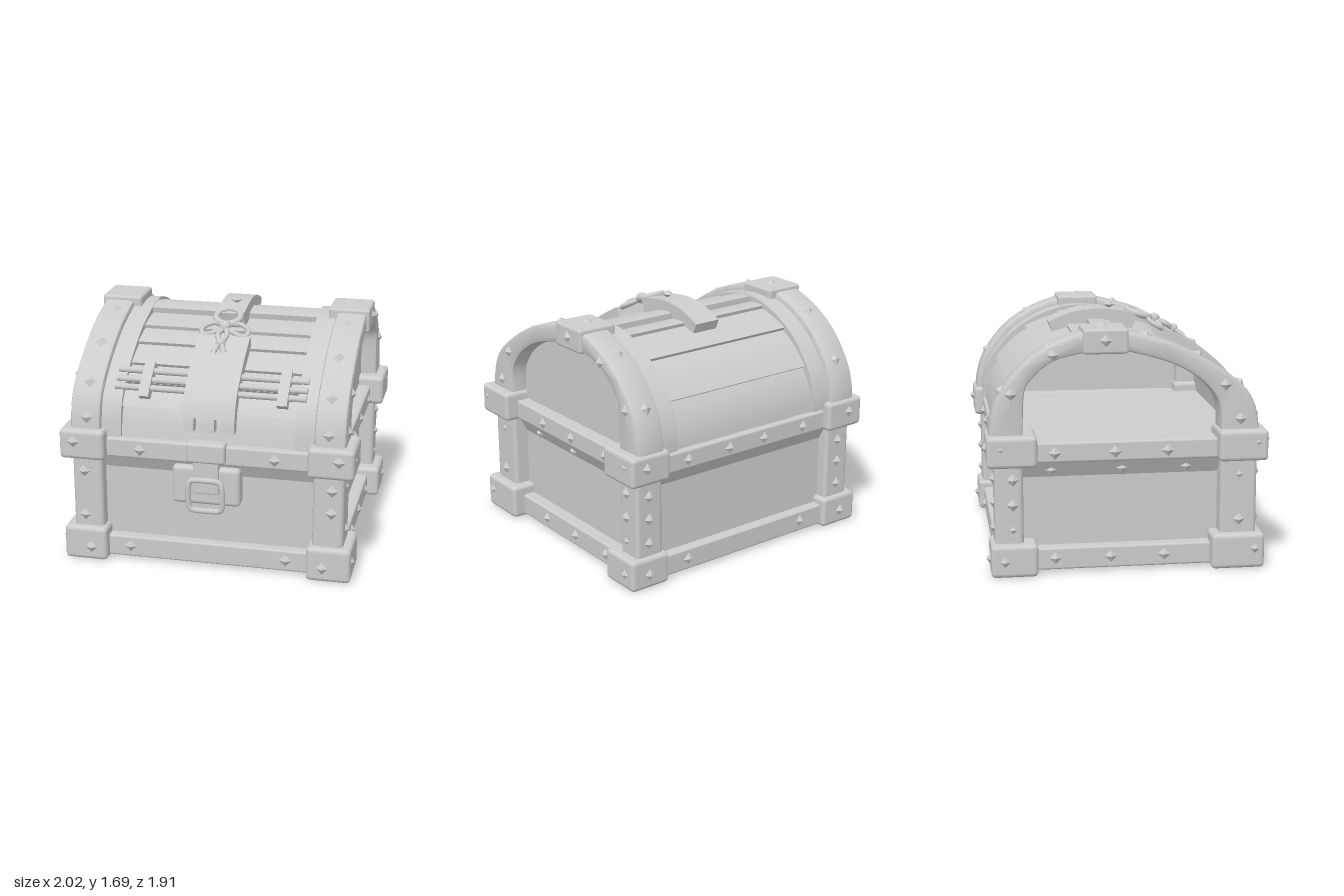
import * as THREE from 'three';
import { toCreasedNormals } from 'three/addons/utils/BufferGeometryUtils.js';
import { RoundedBoxGeometry } from 'three/addons/geometries/RoundedBoxGeometry.js';

const grey = new THREE.MeshStandardMaterial({ color: 0xcccccc, side: THREE.DoubleSide });
grey.name = 'plain grey';

// Lid side profile, front to back, as (-z, y)
const vecs = (list) => list.map(([a, b]) => new THREE.Vector2(a, b));
const outer = new THREE.SplineCurve(vecs([
  [-0.88, 0.9], [-0.86, 1.07], [-0.80, 1.2], [-0.68, 1.31], [-0.51, 1.42], [-0.28, 1.53], [0, 1.605],
  [0.15, 1.62], [0.30, 1.605], [0.5, 1.53], [0.69, 1.4], [0.845, 1.2], [0.905, 1.02], [0.91, 0.9]]));
const inner = new THREE.SplineCurve(vecs([
  [-0.62, 0.9], [-0.61, 1.1], [-0.56, 1.2], [-0.46, 1.3], [-0.28, 1.4], [0, 1.48],
  [0.15, 1.49], [0.3, 1.475], [0.5, 1.42], [0.64, 1.3], [0.68, 1.2], [0.69, 0.9]]));

// Position along the lid profile for a given z
function uAt(z) {
  let lo = 0, hi = 1;
  for (let i = 0; i < 24; i++) {
    const mid = (lo + hi) / 2;
    if (outer.getPointAt(mid).x < -z) lo = mid; else hi = mid;
  }
  return lo;
}

// Point on the lid profile, moved outward by off
function lidPoint(u, off) {
  const p = outer.getPointAt(u), t = outer.getTangentAt(u);
  return new THREE.Vector2(p.x - t.y * off, p.y + t.x * off);
}

export function createModel() {
  const model = new THREE.Group();
  model.name = 'treasureChest';

  const add = (name, geo, x = 0, y = 0, z = 0) => {
    const m = new THREE.Mesh(geo, grey);
    m.name = name;
    m.position.set(x, y, z);
    model.add(m);
    return m;
  };

  // Box given by its limits, with softened edges
  const block = (name, x0, x1, y0, y1, z0, z1, r = 0.015) =>
    add(name, new RoundedBoxGeometry(x1 - x0, y1 - y0, z1 - z0, 2, r), (x0 + x1) / 2, (y0 + y1) / 2, (z0 + z1) / 2);

  // Side outline extruded from x0 to x1
  const slab = (name, pts, x0, x1, bevel = 0) => {
    const geo = new THREE.ExtrudeGeometry(new THREE.Shape(pts), {
      depth: x1 - x0 - 2 * bevel, bevelEnabled: bevel > 0, bevelSize: bevel,
      bevelOffset: -bevel, bevelThickness: bevel, bevelSegments: 2 });
    geo.rotateY(Math.PI / 2);
    return add(name, toCreasedNormals(geo, 0.7), x0 + bevel, 0, 0);
  };

  // Strip following the lid, with outer offsets a to b and inner offset c
  const strip = (name, u0, u1, a, b, c, x0, x1, n = 4) => {
    const top = [], under = [];
    for (let i = 0; i <= n; i++) {
      const k = i / n, u = u0 + (u1 - u0) * k;
      top.push(lidPoint(u, a + (b - a) * k));
      under.unshift(lidPoint(u, c));
    }
    return slab(name, [...top, ...under], x0, x1);
  };

  const tube = (name, pts, r, closed = false, tension = 0.5) =>
    add(name, new THREE.TubeGeometry(new THREE.CatmullRomCurve3(
      pts.map((p) => new THREE.Vector3(...p)), closed, 'catmullrom', tension), 40, r, 8, closed));

  // Faceted stud, flattened along the surface normal
  const studGeo = toCreasedNormals(new THREE.OctahedronGeometry(0.042), 0.1);
  const stud = (x, y, z, axis, tilt = 0) => {
    const m = add('stud', studGeo, x, y, z);
    m.scale[axis] = 0.65;
    m.rotation.x = tilt;
  };

  // Lower body and its inward sloping band
  block('body', -0.82, 0.82, 0.015, 0.88, -0.8, 0.78, 0.005);
  const band = new THREE.CylinderGeometry(Math.SQRT1_2, Math.SQRT1_2 * 0.93, 0.11, 4);
  band.rotateY(Math.PI / 4).scale(1.77, 1, 1.68);
  add('slopedBand', toCreasedNormals(band, 0.3), 0, 0.695, -0.01);

  // Rails round the base and rim
  for (const [y0, y1] of [[0.02, 0.17], [0.75, 0.885]]) {
    block('frontRail', -0.76, 0.76, y0, y1, 0.68, 0.85);
    block('backRail', -0.76, 0.76, y0, y1, -0.87, -0.7);
    for (const s of [-1, 1]) {
      const a = s * 0.76, b = s * 0.905;
      block('sideRail', Math.min(a, b), Math.max(a, b), y0, y1, -0.66, 0.66);
    }
  }

  for (const s of [-1, 1]) {
    const side = (name, a, b, ...rest) => block(name, Math.min(s * a, s * b), Math.max(s * a, s * b), ...rest);
    // Posts and corner caps
    side('frontPost', 0.72, 0.93, 0.15, 0.8, 0.62, 0.87, 0.03);
    side('backPost', 0.72, 0.93, 0.15, 0.8, -0.88, -0.69, 0.03);
    side('frontFootCap', 0.69, 0.99, 0, 0.24, 0.56, 0.92, 0.03);
    side('backFootCap', 0.69, 0.99, 0, 0.22, -0.91, -0.6, 0.03);
    side('frontRimCap', 0.69, 1.0, 0.74, 0.95, 0.6, 0.93, 0.03);
    side('backRimCap', 0.69, 1.0, 0.74, 0.95, -0.93, -0.6, 0.03);

    // Lid arch with thin inner band and crown block
    const x0 = s > 0 ? 0.725 : -0.935;
    slab('lidArch', [...outer.getSpacedPoints(40), ...inner.getSpacedPoints(40).reverse()], x0, x0 + 0.21, 0.025);
    const bx = s > 0 ? 0.59 : -0.74;
    strip('lidInnerBand', 0, 1, -0.04, -0.04, -0.1, bx, bx + 0.15, 40);
    side('archCrown', 0.67, 0.955, 1.47, 1.635, -0.295, 0, 0.02);

    // Studs on the front and back
    for (const [x, y, z] of [[0.85, 0.64, 0.87], [0.85, s > 0 ? 0.48 : 0.32, 0.87], [0.9, 0.87, 0.93],
      [0.8, 0.1, 0.92], [0.46, 0.815, 0.85], [0.54, 0.1, 0.85], [0.83, 0.64, -0.88], [0.83, 0.48, -0.88],
      [0.83, 0.31, -0.88], [0.88, 0.86, -0.93], [0.85, 0.1, -0.91], [0.5, 0.815, -0.87],
      [0.15, 0.815, -0.87], [0.5, 0.1, -0.87]]) stud(s * x, y, z, 'z');

    // Studs on the ends
    for (const [z, y, x] of [[0.27, 0.815, 0.905], [-0.08, 0.815, 0.905], [-0.48, 0.815, 0.905],
      [0.25, 0.1, 0.905], [-0.11, 0.1, 0.905], [-0.48, 0.1, 0.905], [0.4, 0.69, 0.85], [-0.03, 0.69, 0.85],
      [-0.5, 0.69, 0.85], [0.75, 0.64, 0.92], [0.75, 0.33, 0.93], [-0.76, 0.65, 0.93], [-0.76, 0.48, 0.93],
      [-0.76, 0.31, 0.92], [0.86, 0.87, 1.0], [-0.84, 0.87, 1.0], [-0.82, 0.11, 0.99], [0.85, 0.14, 0.985],
      [0.75, 1.02, 0.935], [0.645, 1.25, 0.935], [-0.49, 1.47, 0.935], [-0.765, 1.22, 0.935],
      [-0.15, 1.56, 0.955]]) stud(Math.min(x, 0.985) * s, y, z, 'x');

    // Studs over the arch and on the crown
    for (const z of [0.868, 0.76, 0.48, 0.13, -0.53, -0.83]) {
      const u = uAt(z), p = lidPoint(u, 0), t = outer.getTangentAt(u);
      stud(s * 0.82, p.y, -p.x, 'y', Math.atan2(-t.y, t.x) * -1);
    }
    stud(s * 0.8, 1.635, -0.15, 'y');
  }

  // Overlapping lid planks: the lower edge of each stands proud
  const cuts = [0, ...[0.845, 0.72, 0.58, 0.4, 0.22, 0, -0.17, -0.33, -0.58, -0.82].map(uAt), 1];
  for (let i = 0; i < cuts.length - 1; i++) {
    if (i === 6) strip('ridgePlank', cuts[i], cuts[i + 1], -0.045, -0.045, -0.11, -0.74, 0.74);
    else if (i < 6) strip('frontPlank', cuts[i], cuts[i + 1], -0.06, -0.085, -0.115, -0.74, 0.74);
    else strip('backPlank', cuts[i], cuts[i + 1], -0.085, -0.06, -0.115, -0.74, 0.74);
  }

  // Recessed panel closing one end of the lid
  slab('lidEndPanel', lidEnd(), 0.79, 0.82);

  // Rods across the lid front, with two clips
  for (const z of [0.76, 0.71, 0.65]) {
    const p = lidPoint(uAt(z), -0.035);
    const rod = add('lidRod', new THREE.CylinderGeometry(0.022, 0.022, 1.3, 10), 0, p.y, -p.x);
    rod.rotation.z = Math.PI / 2;
  }
  for (const x of [-0.44, 0.495]) strip('rodClip', uAt(0.81), uAt(0.6), 0.0, 0.0, -0.08, x - 0.035, x + 0.035);

  // Hanging flap with a notched lower edge
  strip('flap', 0.07, uAt(0.36), 0.012, 0.012, -0.07, -0.16, 0.195, 14);
  for (const [a, b] of [[-0.15, -0.08], [-0.03, 0.06], [0.11, 0.195]])
    strip('flapTooth', 0.035, 0.075, 0.012, 0.012, -0.06, a, b, 2);

  // Top strap, ring and knotted cord
  strip('topStrap', uAt(0.17), uAt(-0.44), 0.045, 0.0, -0.08, -0.085, 0.11, 14);
  stud(0.02, 1.66, 0, 'y');
  const ring = add('strapRing', new THREE.TorusGeometry(0.085, 0.022, 10, 28), 0.01, 1.595, 0.21);
  ring.rotation.x = -Math.PI / 2 + 0.35;
  for (const s of [-1, 1]) {
    tube('bowLoop', [[0.01, 1.55, 0.32], [0.01 + s * 0.09, 1.56, 0.27], [0.01 + s * 0.16, 1.53, 0.31],
      [0.01 + s * 0.13, 1.5, 0.36]], 0.017, true);
    tube('cordEnd', [[0.01, 1.55, 0.31], [0.01 + s * 0.03, 1.52, 0.4], [0.01 + s * 0.012, 1.48, 0.46],
      [0.01 + s * 0.035, 1.43, 0.53]], 0.019);
  }
  add('bowKnot', new THREE.SphereGeometry(0.04, 16, 12), 0.01, 1.555, 0.32);
  add('cordKnot', new THREE.SphereGeometry(0.035, 16, 12), 0.01, 1.48, 0.46);

  // Lock case, hasp and pull ring
  block('lockCase', -0.235, 0.23, 0.46, 0.73, 0.7, 0.865, 0.03);
  block('haspHinge', -0.13, 0.135, 0.77, 0.91, 0.78, 0.9, 0.02);
  block('haspStrap', -0.085, 0.09, 0.55, 0.8, 0.8, 0.89, 0.01);
  tube('pullRing', [[-0.09, 0.645, 0.89], [0.09, 0.645, 0.89], [0.115, 0.6, 0.895], [0.115, 0.46, 0.89],
    [0.08, 0.43, 0.885], [-0.08, 0.43, 0.885], [-0.115, 0.46, 0.89], [-0.115, 0.6, 0.895]], 0.02, true, 0.3);

  return model;
}

// Outline of the lid end, slightly larger than the arch opening
function lidEnd() {
  const pts = [];
  for (let i = 0; i <= 30; i++) pts.push(lidPoint(i / 30, -0.1));
  return pts;
}
